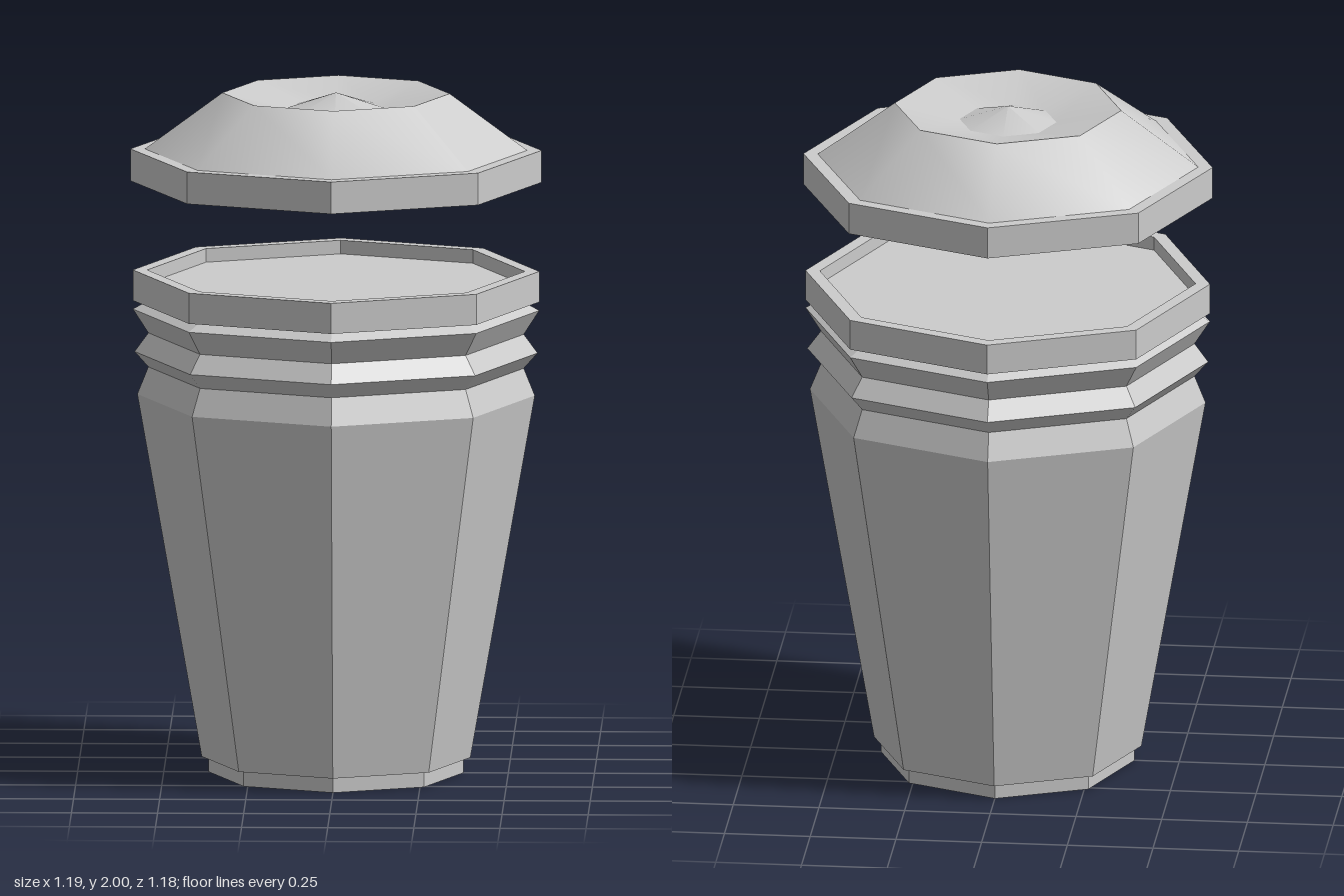
import * as THREE from 'three';

const SIDES = 8;
const toPoints = (profile) => profile.map(([r, y]) => new THREE.Vector2(r, y));

export function createModel() {
  const model = new THREE.Group();
  const flat = new THREE.MeshStandardMaterial({ color: 0xcccccc, flatShading: true });
  const smooth = new THREE.MeshStandardMaterial({ color: 0xcccccc });

  // Eight-sided turned part; a partial turn covers only some of the sides
  function turned(name, profile, material, parent, firstSide = 0, sides = SIDES) {
    const step = (Math.PI * 2) / SIDES;
    const geometry = new THREE.LatheGeometry(toPoints(profile), sides, firstSide * step, sides * step);
    if (sides < SIDES) geometry.computeVertexNormals();
    const mesh = new THREE.Mesh(geometry, material);
    mesh.name = name;
    parent.add(mesh);
  }

  // Tapered body on a small foot, with two ridges around the neck
  turned('body', [
    [0, 0], [0.37, 0], [0.37, 0.045], [0.39, 0.045],
    [0.577, 1.11], [0.545, 1.19], [0.585, 1.235], [0.545, 1.29],
    [0.59, 1.36], [0.545, 1.385],
  ], flat, model);

  // Upper rim with a shallow recessed floor
  turned('bodyRim', [
    [0.545, 1.385], [0.59, 1.385], [0.59, 1.475], [0.548, 1.475], [0.548, 1.435], [0, 1.435],
  ], flat, model);

  // Floating lid, very slightly narrower from front to back
  const lid = new THREE.Group();
  lid.name = 'lid';
  lid.scale.z = 0.98;
  lid.position.z = 0.007;
  model.add(lid);

  turned('lidRim', [[0, 1.738], [0.597, 1.738], [0.597, 1.832], [0.555, 1.832]], flat, lid);

  // Sloping shoulder: one crisp panel, the others shaded softly
  const shoulder = [[0.555, 1.832], [0.33, 1.998]];
  turned('lidShoulder', shoulder, smooth, lid, 2, 7);
  turned('lidShoulderPanel', shoulder, flat, lid, 1, 1);

  // Dished top with a central peak
  turned('lidDish', [[0.33, 1.998], [0.141, 1.955]], smooth, lid);
  turned('lidPeak', [[0.141, 1.955], [0, 2]], smooth, lid);

  return model;
}
